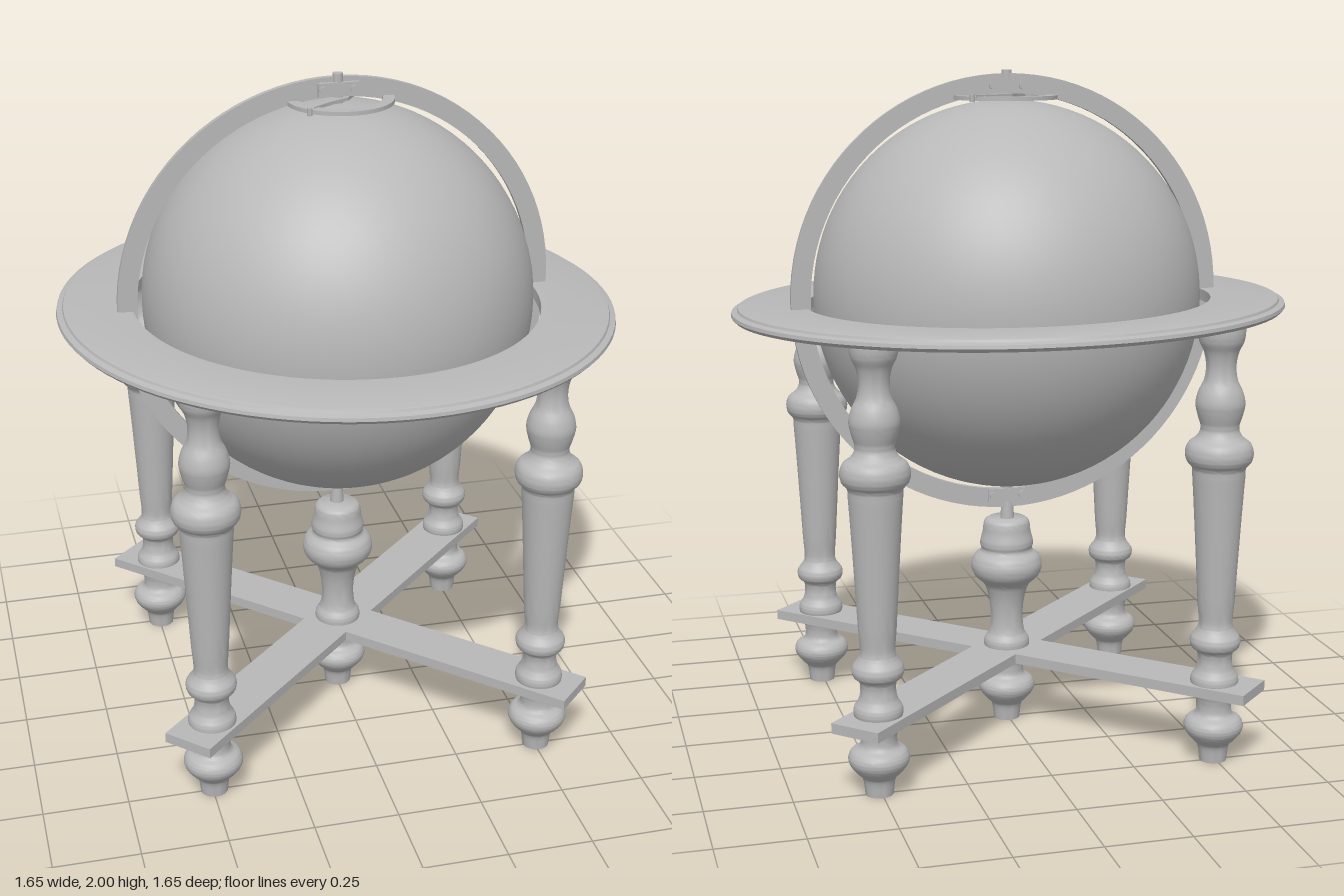
import * as THREE from 'three';
import { toCreasedNormals } from 'three/addons/utils/BufferGeometryUtils.js';

const grey = new THREE.MeshStandardMaterial({ color: 0xb8b8b8 });
grey.name = 'plain grey';

function add(parent, name, geometry, x = 0, y = 0, z = 0) {
  const mesh = new THREE.Mesh(geometry, grey);
  mesh.name = name;
  mesh.position.set(x, y, z);
  parent.add(mesh);
  return mesh;
}

// Turned wood: a smooth curve through [radius, height] points, closed at both ends
function turned(points) {
  const curve = new THREE.CatmullRomCurve3(
    points.map(([r, y]) => new THREE.Vector3(r, y, 0)), false, 'centripetal');
  const profile = curve.getPoints(points.length * 4)
    .map((p) => new THREE.Vector2(Math.max(p.x, 0.005), p.y));
  profile.unshift(new THREE.Vector2(0, points[0][1]));
  profile.push(new THREE.Vector2(0, points[points.length - 1][1]));
  return toCreasedNormals(new THREE.LatheGeometry(profile, 32), 0.7);
}

// Ring with a closed cross-section of [radius, height] points, counter-clockwise
function hoop(section, segments = 96) {
  const profile = [...section, section[0]].map(([r, y]) => new THREE.Vector2(r, y));
  return toCreasedNormals(new THREE.LatheGeometry(profile, segments), 0.6);
}

const flatSection = (inner, outer, h) => [[inner, -h], [outer, -h], [outer, h], [inner, h]];

// Foot shared by the legs and the central pillar
const foot = [
  [0.04, 0.01], [0.048, 0.06], [0.062, 0.075], [0.082, 0.1], [0.087, 0.12],
  [0.078, 0.14], [0.055, 0.155], [0.052, 0.19], [0.06, 0.22], [0.07, 0.25],
  [0.068, 0.27], [0.056, 0.29],
];
const legProfile = [
  ...foot, [0.05, 0.32], [0.054, 0.345], [0.07, 0.36], [0.073, 0.385],
  [0.056, 0.41], [0.05, 0.425], [0.054, 0.5], [0.07, 0.78], [0.076, 0.87],
  [0.078, 0.895], [0.094, 0.915], [0.098, 0.94], [0.09, 0.965], [0.066, 0.985],
  [0.055, 1.01], [0.064, 1.045], [0.071, 1.08], [0.064, 1.115], [0.048, 1.15],
  [0.043, 1.19], [0.05, 1.23], [0.064, 1.26], [0.068, 1.29], [0.066, 1.312],
];
const pillarProfile = [
  ...foot, [0.05, 0.33], [0.052, 0.38], [0.06, 0.42], [0.07, 0.445],
  [0.1, 0.475], [0.109, 0.505], [0.1, 0.535], [0.078, 0.555], [0.082, 0.575],
  [0.074, 0.61], [0.068, 0.645], [0.055, 0.655],
];

export function createModel() {
  const model = new THREE.Group();
  model.name = 'globeOnStand';
  const cy = 1.345;

  // Globe and the upright meridian ring around it
  add(model, 'globe', new THREE.SphereGeometry(0.577, 64, 48), 0.003, cy, -0.002);
  const meridian = add(model, 'meridianRing', hoop(flatSection(0.595, 0.653, 0.009)), 0.003, cy, -0.013);
  meridian.rotation.x = Math.PI / 2;

  // Broad, slightly tilted horizon ring with a moulded rim
  const horizon = add(model, 'horizonRing', hoop([
    [0.605, -0.016], [0.79, -0.018], [0.815, -0.014], [0.824, -0.004],
    [0.822, 0.006], [0.806, 0.011], [0.803, 0.018], [0.795, 0.021], [0.605, 0.018],
  ]), 0, 1.315, -0.004);
  horizon.rotation.set(0.012, 0, -0.016);

  // Four legs
  const legGeometry = turned(legProfile);
  for (const x of [-0.495, 0.505]) {
    for (const z of [-0.497, 0.497]) add(model, 'leg', legGeometry, x, 0, z);
  }

  // Crossed stretcher boards
  const boards = new THREE.Group();
  boards.name = 'stretcherCross';
  boards.position.set(0.003, 0.233, 0);
  boards.rotation.z = -0.006;
  model.add(boards);
  for (const side of [-1, 1]) {
    const board = add(boards, 'stretcherBoard', new THREE.BoxGeometry(1.66, 0.03, 0.155));
    board.rotation.y = side * Math.PI / 4;
  }

  // Central pillar with the pin that carries the meridian ring
  add(model, 'centrePillar', turned(pillarProfile), 0.003, 0, 0);
  add(model, 'pillarPin', new THREE.CylinderGeometry(0.018, 0.022, 0.06, 16), 0.003, 0.675, -0.008);

  // Clamps and axle pins at both poles
  for (const [name, y] of [['lowerPole', 0.73], ['upperPole', 1.963]]) {
    const pole = new THREE.Group();
    pole.name = name;
    pole.position.set(0.005, y, -0.008);
    model.add(pole);
    add(pole, 'clamp', new THREE.BoxGeometry(0.12, 0.04, 0.032));
    add(pole, 'axlePin', new THREE.CylinderGeometry(0.015, 0.015, 0.09, 16));
    for (const x of [-0.045, 0.045]) {
      const screw = add(pole, 'screw', new THREE.CylinderGeometry(0.012, 0.012, 0.046, 12), x, 0, 0);
      screw.rotation.x = Math.PI / 2;
    }
  }

  // Hour dial with a slanting pointer
  const dial = new THREE.Group();
  dial.name = 'hourDial';
  dial.position.set(0.013, 1.929, -0.013);
  model.add(dial);
  add(dial, 'dialRing', hoop(flatSection(0.122, 0.156, 0.006), 48));
  const pointerShape = new THREE.Shape([
    [-0.14, 0], [-0.06, -0.012], [0, -0.028], [0.06, -0.014], [0.16, 0], [0.06, 0.014], [0, 0.028], [-0.06, 0.012],
  ].map(([x, y]) => new THREE.Vector2(x, y)));
  const pointerGeometry = new THREE.ExtrudeGeometry(pointerShape, { depth: 0.01, bevelEnabled: false });
  pointerGeometry.rotateX(-Math.PI / 2);
  const pointer = add(dial, 'pointer', pointerGeometry, 0, 0, 0);
  pointer.rotation.y = Math.PI / 4;
  // Small pegs at the dial rim
  for (const [x, z] of [[-0.115, 0.115], [0.125, -0.115]]) {
    add(dial, 'dialPeg', new THREE.CylinderGeometry(0.008, 0.008, 0.022, 8), x, 0.002, z);
  }
  return model;
}
